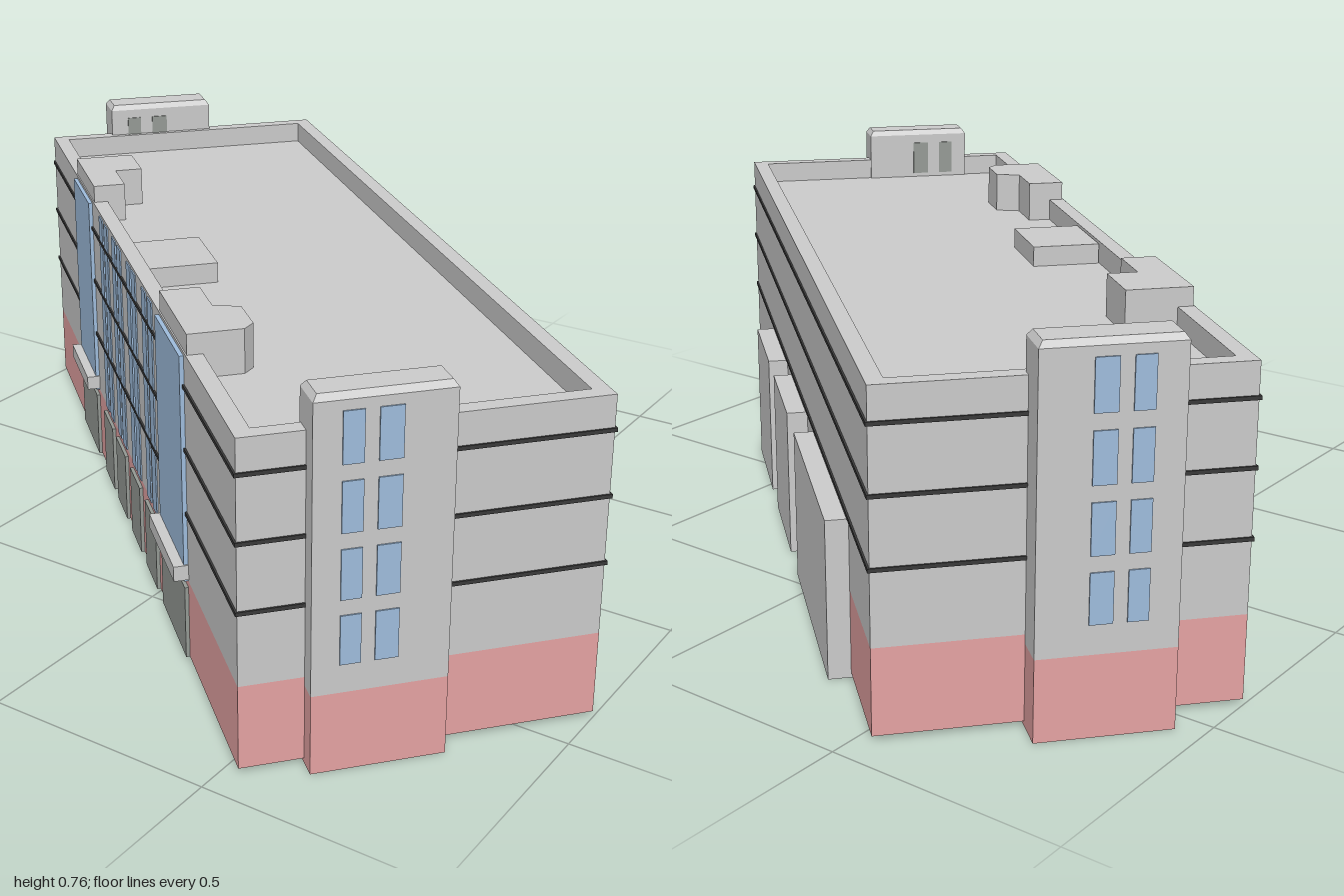
import * as THREE from 'three';

const mat = (color) => new THREE.MeshStandardMaterial({ color, flatShading: true });

export function createModel() {
  const model = new THREE.Group();
  model.name = 'building';
  const grey = mat(0xcccccc), brick = mat(0xe5a3a3), glass = mat(0x9fbddd);
  const dark = mat(0x3a3a3a), doorGrey = mat(0x959a95);

  // the block stands diagonally; parts are laid out along its own axes
  const block = new THREE.Group();
  block.name = 'block';
  block.rotation.y = -0.71;
  model.add(block);

  const add = (name, geo, material) => {
    const mesh = new THREE.Mesh(geo, material);
    mesh.name = name;
    block.add(mesh);
    return mesh;
  };
  // box from its lower and upper limits on each axis
  const box = (name, material, x0, x1, y0, y1, z0, z1) => {
    const mesh = add(name, new THREE.BoxGeometry(x1 - x0, y1 - y0, z1 - z0), material);
    mesh.position.set((x0 + x1) / 2, (y0 + y1) / 2, (z0 + z1) / 2);
    return mesh;
  };
  // box whose top edges are pulled in
  const bevelled = (name, material, x0, x1, y0, y1, z0, z1, inset) => {
    const mesh = box(name, material, x0, x1, y0, y1, z0, z1);
    const p = mesh.geometry.attributes.position;
    for (let i = 0; i < p.count; i++) {
      if (p.getY(i) < 0) continue;
      p.setX(i, p.getX(i) - Math.sign(p.getX(i)) * inset);
      p.setZ(i, p.getZ(i) - Math.sign(p.getZ(i)) * inset);
    }
    mesh.geometry.computeVertexNormals();
    return mesh;
  };
  // upright solid from a floor outline of [x, z] points, with an optional hole
  const upright = (name, material, outline, y0, y1, hole) => {
    const pts = (list) => list.map(([x, z]) => new THREE.Vector2(x, -z));
    const shape = new THREE.Shape(pts(outline));
    if (hole) shape.holes.push(new THREE.Path(pts(hole)));
    const geo = new THREE.ExtrudeGeometry(shape, { depth: y1 - y0, bevelEnabled: false });
    geo.rotateX(-Math.PI / 2);
    add(name, geo, material).position.y = y0;
  };
  const rect = (a, b) => [[-a, b], [a, b], [a, -b], [-a, -b]];

  const L = 1.008, W = 0.357, top = 0.685, sill = 0.187;

  // main volume: brick base, walls with parapet, sunken roof
  box('brickBase', brick, -L, L, 0.01, sill, -W, W);
  upright('walls', grey, rect(L, W), sill, top, rect(L - 0.035, W - 0.035));
  box('roof', grey, -L + 0.03, L - 0.03, 0.61, 0.635, -W + 0.03, W - 0.03);

  // thin dark bands marking the floors
  for (const y of [0.34, 0.48, 0.615]) {
    upright('floorBand', dark, rect(L + 0.004, W + 0.004), y - 0.004, y + 0.004, rect(L - 0.01, W - 0.01));
  }

  // stair towers on both ends
  const tower = (side, inner, outer, z0, z1) => {
    const x0 = Math.min(side * inner, side * outer), x1 = Math.max(side * inner, side * outer);
    box('towerBase', brick, x0, x1, 0, 0.168, z0, z1);
    box('towerShaft', grey, x0, x1, 0.168, 0.752, z0, z1);
    bevelled('towerCap', grey, x0, x1, 0.752, 0.765, z0, z1, 0.009);
    const face = (name, m, x, y0, y1, a, b) =>
      box(name, m, x - 0.003, x + 0.003, y0, y1, z0 + a, z0 + b);
    // two window columns in four rows on the outside
    for (const [a, b] of [[0.10, 0.145], [0.172, 0.212]]) {
      for (let row = 0; row < 4; row++) {
        const y = 0.228 + row * 0.134;
        face('towerWindow', glass, side * outer, y, y + 0.102, a, b);
      }
      // openings above the roof on the inside
      face('towerRoofWindow', doorGrey, side * inner, 0.645, 0.73, a + 0.02, b + 0.015);
    }
  };
  tower(1, 0.967, 1.047, -0.036, 0.23);
  tower(-1, 0.987, 1.075, -0.071, 0.2);

  // two wide glazed bays, each with a canopy and an entrance
  for (const [x0, x1] of [[-0.629, -0.41], [0.373, 0.604]]) {
    box('glassBay', glass, x0, x1, sill, 0.678, W - 0.01, W + 0.009);
    box('canopy', grey, x0 - 0.006, x1 + 0.004, 0.192, 0.225, W - 0.01, W + 0.031);
    box('entrance', doorGrey, x0, x1, 0.01, 0.172, W - 0.01, W + 0.008);
  }

  // pairs of window strips with a door below each pair
  const pairs = [[-0.306, -0.201], [-0.144, -0.04], [0.032, 0.131], [0.202, 0.307]];
  for (const [x0, x1] of pairs) {
    box('windowStrip', glass, x0, x0 + 0.042, sill, 0.678, W - 0.01, W + 0.003);
    box('windowStrip', glass, x1 - 0.042, x1, sill, 0.678, W - 0.01, W + 0.003);
    box('door', doorGrey, x0 - 0.006, x1 + 0.006, 0.01, 0.172, W - 0.01, W + 0.008);
  }

  // plain annexes along the back
  for (const [x0, x1] of [[-0.754, -0.25], [-0.119, 0.16], [0.276, 0.557]]) {
    box('rearAnnex', grey, x0, x1, 0, 0.335, -W - 0.046, -W + 0.01);
  }

  // roof units
  upright('leftRoofUnit', grey, [
    [-0.642, 0.354], [-0.392, 0.354], [-0.392, 0.279], [-0.51, 0.279], [-0.51, 0.214], [-0.642, 0.214],
  ], 0.62, 0.725);
  upright('rightRoofUnit', grey, [
    [0.37, 0.354], [0.62, 0.354], [0.62, 0.24], [0.595, 0.216], [0.5, 0.216], [0.48, 0.27], [0.37, 0.27],
  ], 0.62, 0.728);
  box('middleRoofUnit', grey, -0.085, 0.102, 0.62, 0.68, 0.168, 0.32);

  return model;
}
